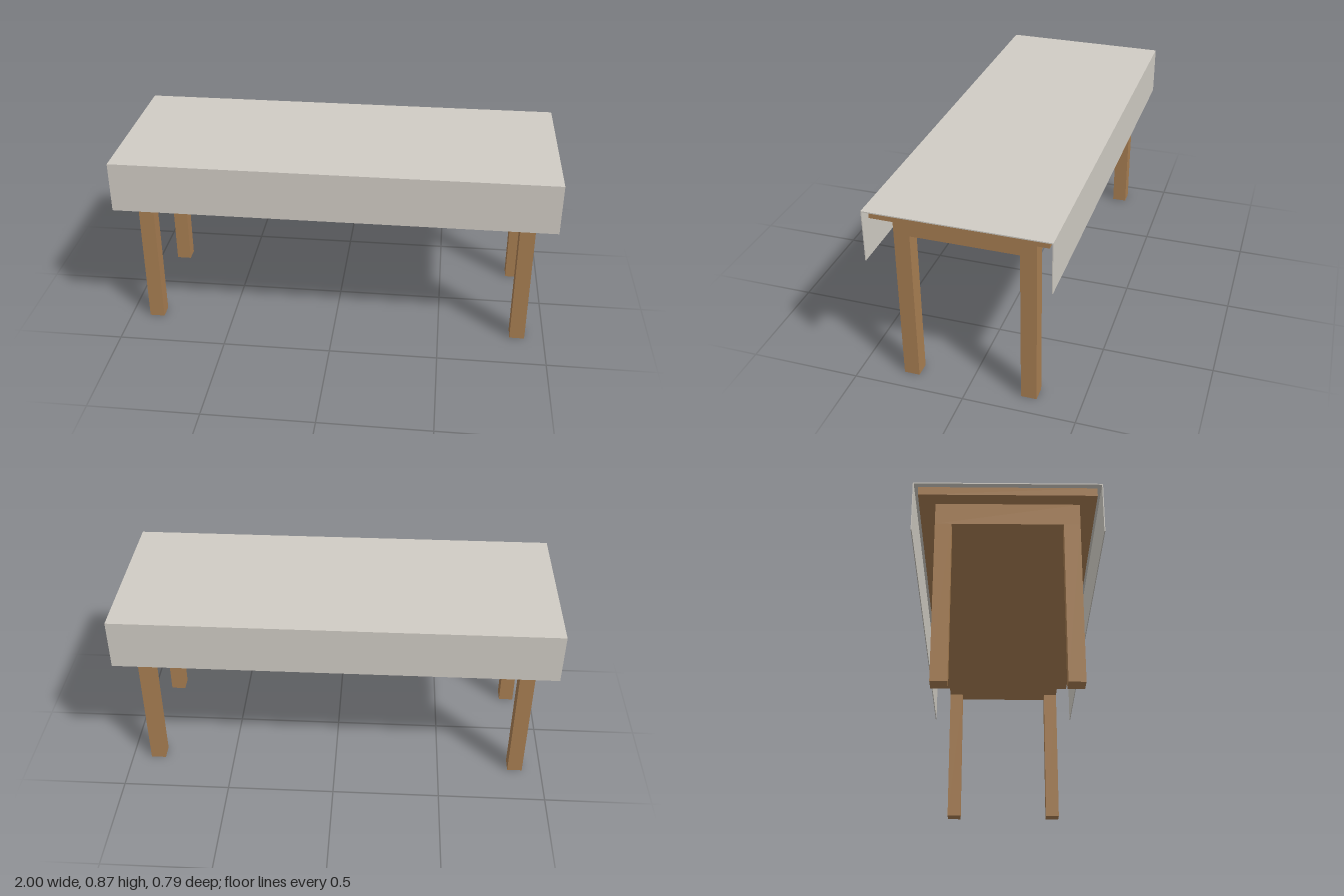
import * as THREE from 'three';

export function createModel() {
  const model = new THREE.Group();
  model.name = 'coveredTable';
  const wood = new THREE.MeshStandardMaterial({ color: 0xa87e52 });
  const cloth = new THREE.MeshStandardMaterial({ color: 0xd0ccc4 });

  // Box given by its size, its bottom height and its centre in x and z
  const addBox = (name, material, w, h, d, x, bottom, z) => {
    const mesh = new THREE.Mesh(new THREE.BoxGeometry(w, h, d), material);
    mesh.position.set(x, bottom + h / 2, z);
    mesh.name = name;
    model.add(mesh);
  };

  // Wooden table: top slab and the solid frame beneath it
  addBox('tableTop', wood, 1.95, 0.038, 0.75, 0, 0.825, 0);
  addBox('apron', wood, 1.82, 0.1, 0.61, 0, 0.725, 0);

  // Four square legs, flush with the frame's corners
  for (const [side, sx] of [['Left', 1], ['Right', -1]]) {
    for (const [end, sz] of [['front', 1], ['back', -1]]) {
      addBox(`${end}${side}Leg`, wood, 0.07, 0.725, 0.07, sx * 0.875, 0, sz * 0.27);
    }
  }

  // Cloth: thin sheet on top with a drop along the front and back
  addBox('clothTop', cloth, 2, 0.005, 0.792, 0, 0.863, 0);
  addBox('clothFrontDrop', cloth, 2, 0.228, 0.004, 0, 0.635, 0.394);
  addBox('clothBackDrop', cloth, 2, 0.228, 0.004, 0, 0.635, -0.394);

  return model;
}
